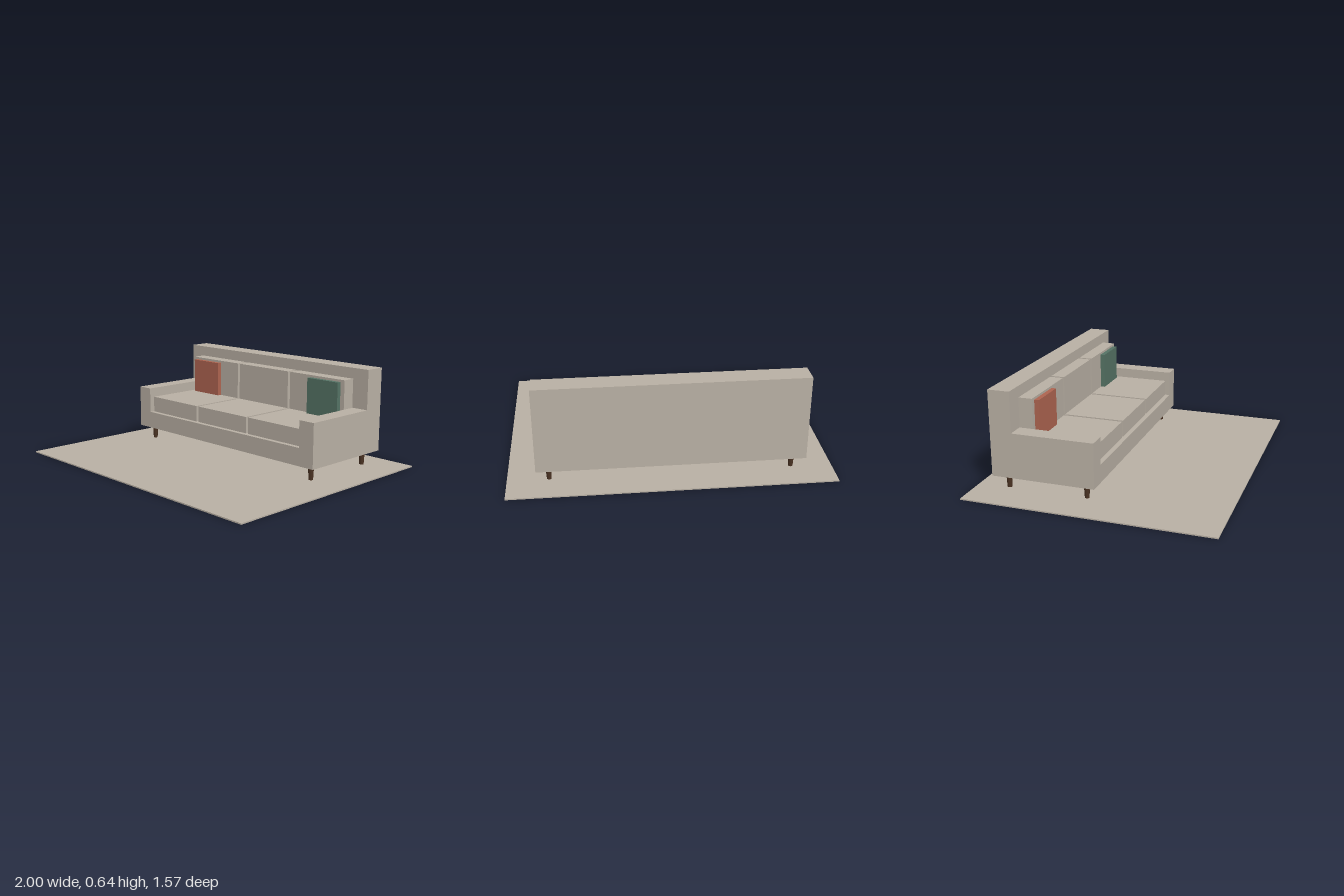
import * as THREE from 'three';

const material = (name, color) => {
  const m = new THREE.MeshStandardMaterial({ color });
  m.name = name;
  return m;
};

// Box given by its lower and upper limits on each axis
function block(name, mat, [x0, x1], [y0, y1], [z0, z1]) {
  const mesh = new THREE.Mesh(new THREE.BoxGeometry(x1 - x0, y1 - y0, z1 - z0), mat);
  mesh.position.set((x0 + x1) / 2, (y0 + y1) / 2, (z0 + z1) / 2);
  mesh.name = name;
  return mesh;
}

export function createModel() {
  const fabric = material('beige fabric', 0xb9b0a4);
  const terracotta = material('terracotta fabric', 0xae6450);
  const green = material('green fabric', 0x557365);
  const wood = material('dark wood', 0x4a3222);

  const model = new THREE.Group();
  model.name = 'sofaOnRug';

  // Rug
  model.add(block('rug', fabric, [-1, 1], [0, 0.008], [-0.785, 0.785]));

  // Frame: base, backrest and arms
  const sofa = new THREE.Group();
  sofa.name = 'sofa';
  model.add(sofa);
  sofa.add(block('base', fabric, [-0.82, 0.82], [0.1, 0.215], [-0.52, 0]));
  sofa.add(block('backrest', fabric, [-0.82, 0.82], [0.1, 0.645], [-0.66, -0.52]));
  sofa.add(block('rightArm', fabric, [-0.82, -0.708], [0.215, 0.387], [-0.52, 0]));
  sofa.add(block('leftArm', fabric, [0.708, 0.82], [0.215, 0.387], [-0.52, 0]));

  // Three seat cushions with back cushions standing on them
  for (const x of [-0.476, 0, 0.476]) {
    const span = [x - 0.228, x + 0.228];
    sofa.add(block('seatCushion', fabric, span, [0.215, 0.323], [-0.52, -0.032]));
    sofa.add(block('backCushion', fabric, span, [0.323, 0.575], [-0.52, -0.432]));
  }

  // Throw pillows
  sofa.add(block('rightPillow', terracotta, [-0.673, -0.423], [0.323, 0.56], [-0.432, -0.402]));
  sofa.add(block('leftPillow', green, [0.423, 0.673], [0.323, 0.56], [-0.432, -0.402]));

  // Tapered legs
  const legGeometry = new THREE.CylinderGeometry(0.019, 0.014, 0.098, 12);
  for (const x of [-0.745, 0.745]) {
    for (const z of [-0.075, -0.585]) {
      const leg = new THREE.Mesh(legGeometry, wood);
      leg.position.set(x, 0.051, z);
      leg.name = 'leg';
      sofa.add(leg);
    }
  }
  return model;
}
